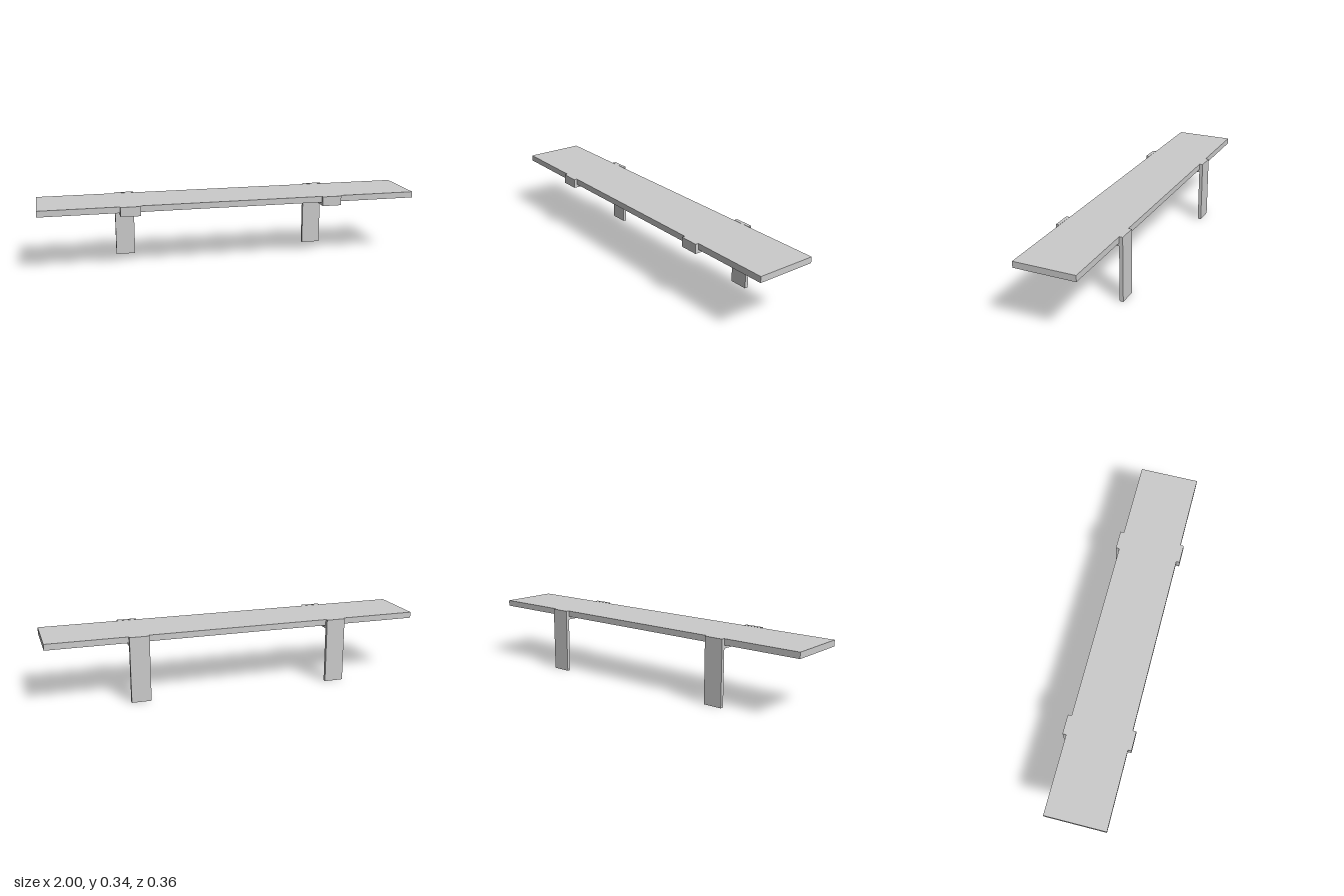
import * as THREE from 'three';

const material = new THREE.MeshStandardMaterial({ color: 0xcccccc });

// Bracket side profile as (z, y): tall back plate, shelf arm, front lip
const PROFILE = [
  [-0.178, 0], [-0.159, 0], [-0.159, 0.295], [0.178, 0.295],
  [0.178, 0.345], [0.16, 0.345], [0.16, 0.312], [-0.159, 0.312],
  [-0.159, 0.345], [-0.178, 0.345],
];
const BRACKET_WIDTH = 0.102;

function makeBracket(name, x) {
  const shape = new THREE.Shape(PROFILE.map(([z, y]) => new THREE.Vector2(z, y)));
  const geometry = new THREE.ExtrudeGeometry(shape, { depth: BRACKET_WIDTH, bevelEnabled: false });
  geometry.translate(0, 0, -BRACKET_WIDTH / 2);
  geometry.rotateY(-Math.PI / 2); // profile runs along z, width along x
  const bracket = new THREE.Mesh(geometry, material);
  bracket.name = name;
  bracket.position.x = x;
  return bracket;
}

export function createModel() {
  const group = new THREE.Group();
  group.name = 'wallShelf';

  // Plank resting in the brackets
  const board = new THREE.Mesh(new THREE.BoxGeometry(2, 0.032, 0.319), material);
  board.name = 'shelfBoard';
  board.position.set(0, 0.328, 0.0005);
  group.add(board);

  group.add(makeBracket('leftBracket', 0.533), makeBracket('rightBracket', -0.537));
  return group;
}
